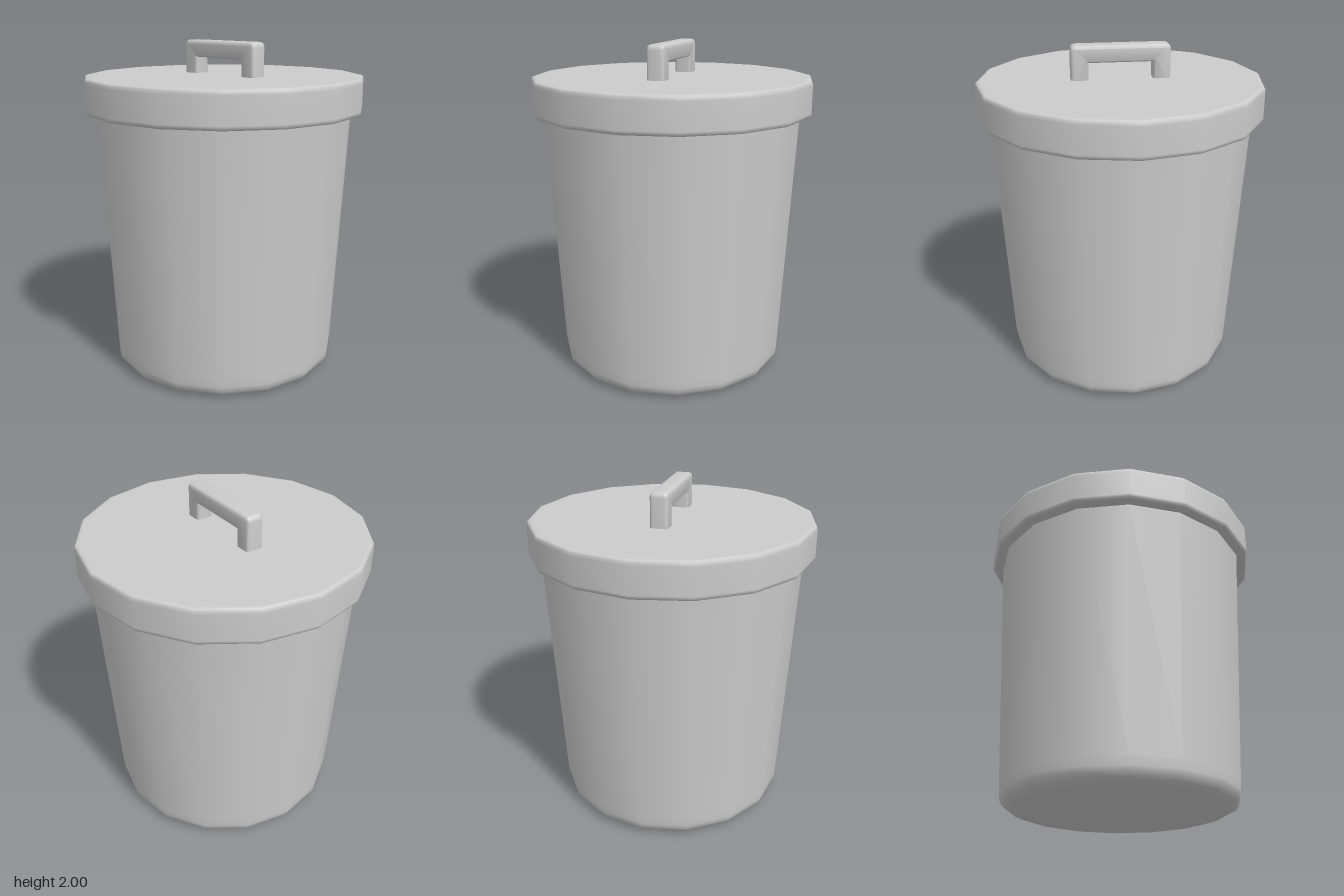
import * as THREE from 'three';
import { toCreasedNormals } from 'three/addons/utils/BufferGeometryUtils.js';

const SIDES = 16;

export function createModel() {
  const group = new THREE.Group();
  const material = new THREE.MeshStandardMaterial({ color: 0xcccccc });

  const add = (name, geometry) => {
    const mesh = new THREE.Mesh(geometry, material);
    mesh.name = name;
    group.add(mesh);
  };

  // Profiles run from bottom to top; close pairs of points keep flat areas flat
  const lathe = (points) =>
    new THREE.LatheGeometry(points.map(([r, y]) => new THREE.Vector2(r, y)), SIDES);

  // Tapered bin with a rounded bottom edge
  add('binBody', lathe([
    [0, 0], [0.61, 0], [0.635, 0.004], [0.675, 0.022], [0.697, 0.05],
    [0.703, 0.08], [0.706, 0.13], [0.78, 1.58], [0.781, 1.6],
  ]));

  // Overhanging lid with softened rims
  add('lid', lathe([
    [0.74, 1.588], [0.82, 1.588], [0.835, 1.59], [0.845, 1.6], [0.848, 1.615],
    [0.847, 1.77], [0.845, 1.788], [0.838, 1.797], [0.825, 1.8], [0.81, 1.8], [0, 1.8],
  ]));

  // Handle: a squared arch, inset by the bevel and extruded through z
  const bevel = 0.02;
  const outerX = 0.293 - bevel, topY = 2 - bevel;
  const innerX = 0.19 + bevel, innerY = 1.898 + bevel;
  const baseY = 1.77, corner = 0.012;
  const arch = new THREE.Shape();
  arch.moveTo(-outerX, baseY);
  arch.lineTo(-innerX, baseY);
  arch.lineTo(-innerX, innerY - corner);
  arch.quadraticCurveTo(-innerX, innerY, -innerX + corner, innerY);
  arch.lineTo(innerX - corner, innerY);
  arch.quadraticCurveTo(innerX, innerY, innerX, innerY - corner);
  arch.lineTo(innerX, baseY);
  arch.lineTo(outerX, baseY);
  arch.lineTo(outerX, topY - corner);
  arch.quadraticCurveTo(outerX, topY, outerX - corner, topY);
  arch.lineTo(-outerX + corner, topY);
  arch.quadraticCurveTo(-outerX, topY, -outerX, topY - corner);
  arch.closePath();

  const depth = 0.106 - 2 * bevel;
  const handle = new THREE.ExtrudeGeometry(arch, {
    depth, curveSegments: 4, bevelEnabled: true,
    bevelSize: bevel, bevelThickness: bevel, bevelSegments: 4,
  });
  handle.translate(0, 0, -depth / 2);
  add('lidHandle', toCreasedNormals(handle, 0.7));

  return group;
}
